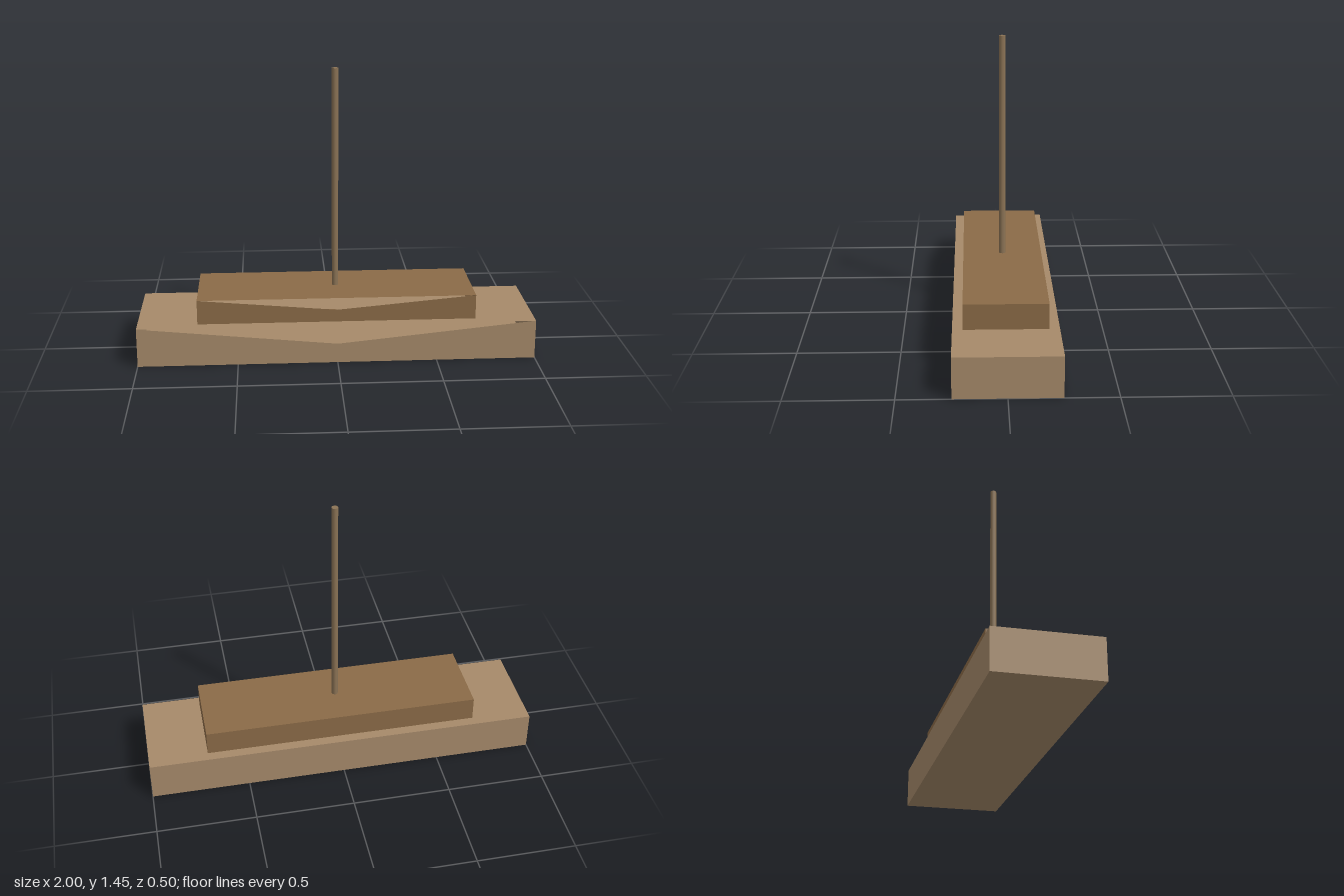
import * as THREE from 'three';

// Box standing on y0 whose front panel dips in a V at its middle, leaving an opening below the flat lid
function notchedBox(name, width, height, depth, y0, color) {
  const geometry = new THREE.BoxGeometry(width, height, depth, 2, 1, 1);
  const { position, normal } = geometry.attributes;
  for (let i = 0; i < position.count; i++) {
    const topMiddle = Math.abs(position.getX(i)) < 1e-6 && position.getY(i) > 0;
    if (topMiddle && normal.getZ(i) > 0.5) position.setY(i, 0);
  }
  const mesh = new THREE.Mesh(
    geometry,
    new THREE.MeshStandardMaterial({ color, side: THREE.DoubleSide })
  );
  mesh.name = name;
  mesh.position.y = y0 + height / 2;
  return mesh;
}

export function createModel() {
  const model = new THREE.Group();
  model.name = 'boat';

  // Hull and the raised deck on it
  model.add(notchedBox('hull', 2, 0.2, 0.5, 0, 0xa68a6a));
  model.add(notchedBox('deck', 1.4, 0.125, 0.4, 0.2, 0x8b6b47));

  // Mast, reaching down through the deck lid
  const bottom = 0.2625, top = 1.45;
  const mast = new THREE.Mesh(
    new THREE.CylinderGeometry(0.0165, 0.0165, top - bottom, 8),
    new THREE.MeshStandardMaterial({ color: 0x8b7355 })
  );
  mast.name = 'mast';
  mast.position.y = (bottom + top) / 2;
  model.add(mast);

  return model;
}
